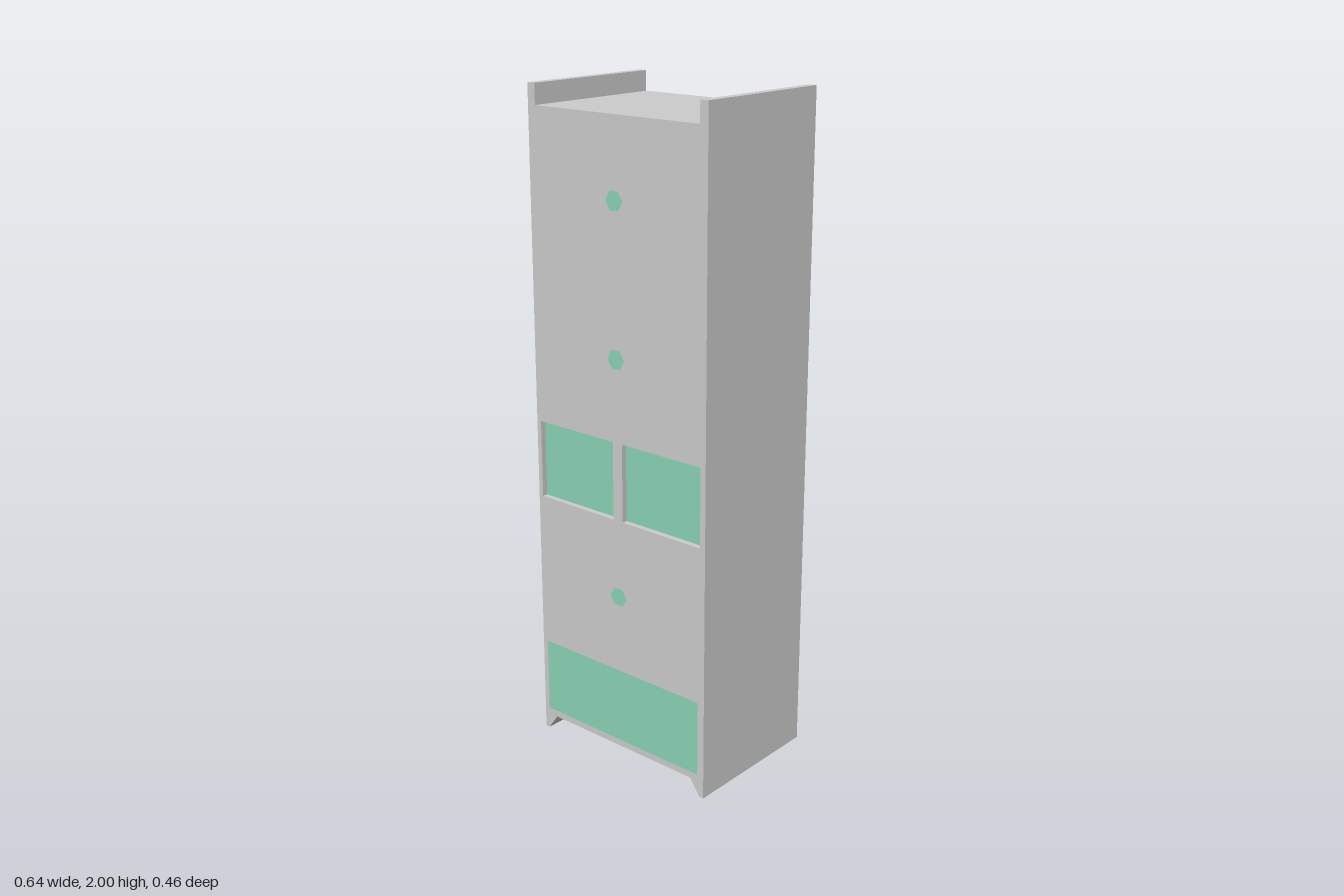
import * as THREE from 'three';

const W = 0.322, D = 0.23, RECESS = 0.018;
const grey = new THREE.MeshStandardMaterial({ color: 0xcccccc, flatShading: true });
const green = new THREE.MeshStandardMaterial({ color: 0x8ad3b4 });

// Cabinet outline seen from the front: raised side lips on top, bevelled feet below
function outline() {
  const half = [[0.272, 0.05], [0.308, 0], [W, 0], [W, 2], [0.295, 2], [0.295, 1.94]];
  const mirrored = half.map(([x, y]) => [-x, y]).reverse();
  return new THREE.Shape([...half, ...mirrored].map(([x, y]) => new THREE.Vector2(x, y)));
}

function slab(name, shape, z0, z1) {
  const geo = new THREE.ExtrudeGeometry(shape, { depth: z1 - z0, bevelEnabled: false });
  const mesh = new THREE.Mesh(geo, grey);
  mesh.name = name;
  mesh.position.z = z0;
  return mesh;
}

function panel(name, [x0, y0, x1, y1], z) {
  const mesh = new THREE.Mesh(new THREE.PlaneGeometry(x1 - x0, y1 - y0), green);
  mesh.name = name;
  mesh.position.set((x0 + x1) / 2, (y0 + y1) / 2, z);
  return mesh;
}

export function createModel() {
  const group = new THREE.Group();
  group.name = 'cabinet';

  // Main body and the front plate with two window openings
  group.add(slab('body', outline(), -D, D - RECESS));
  const windows = [[-0.307, 0.785, -0.019, 1.022], [0.016, 0.785, 0.304, 1.022]];
  const front = outline();
  for (const [x0, y0, x1, y1] of windows) {
    front.holes.push(new THREE.Path([
      new THREE.Vector2(x0, y0), new THREE.Vector2(x0, y1),
      new THREE.Vector2(x1, y1), new THREE.Vector2(x1, y0),
    ]));
  }
  group.add(slab('frontPlate', front, D - RECESS, D));

  // Recessed window panels
  windows.forEach((w, i) => group.add(panel(i ? 'leftWindow' : 'rightWindow', w, D - RECESS + 0.001)));

  // Flush lower panel
  group.add(panel('lowerPanel', [-0.304, 0.071, 0.3, 0.305], D + 0.001));

  // Hexagonal buttons up the centre
  [['lowerButton', 0.545], ['middleButton', 1.267], ['upperButton', 1.71]].forEach(([name, y]) => {
    const button = new THREE.Mesh(new THREE.CircleGeometry(0.031, 6), green);
    button.name = name;
    button.position.set(-0.003, y, D + 0.001);
    group.add(button);
  });

  return group;
}
